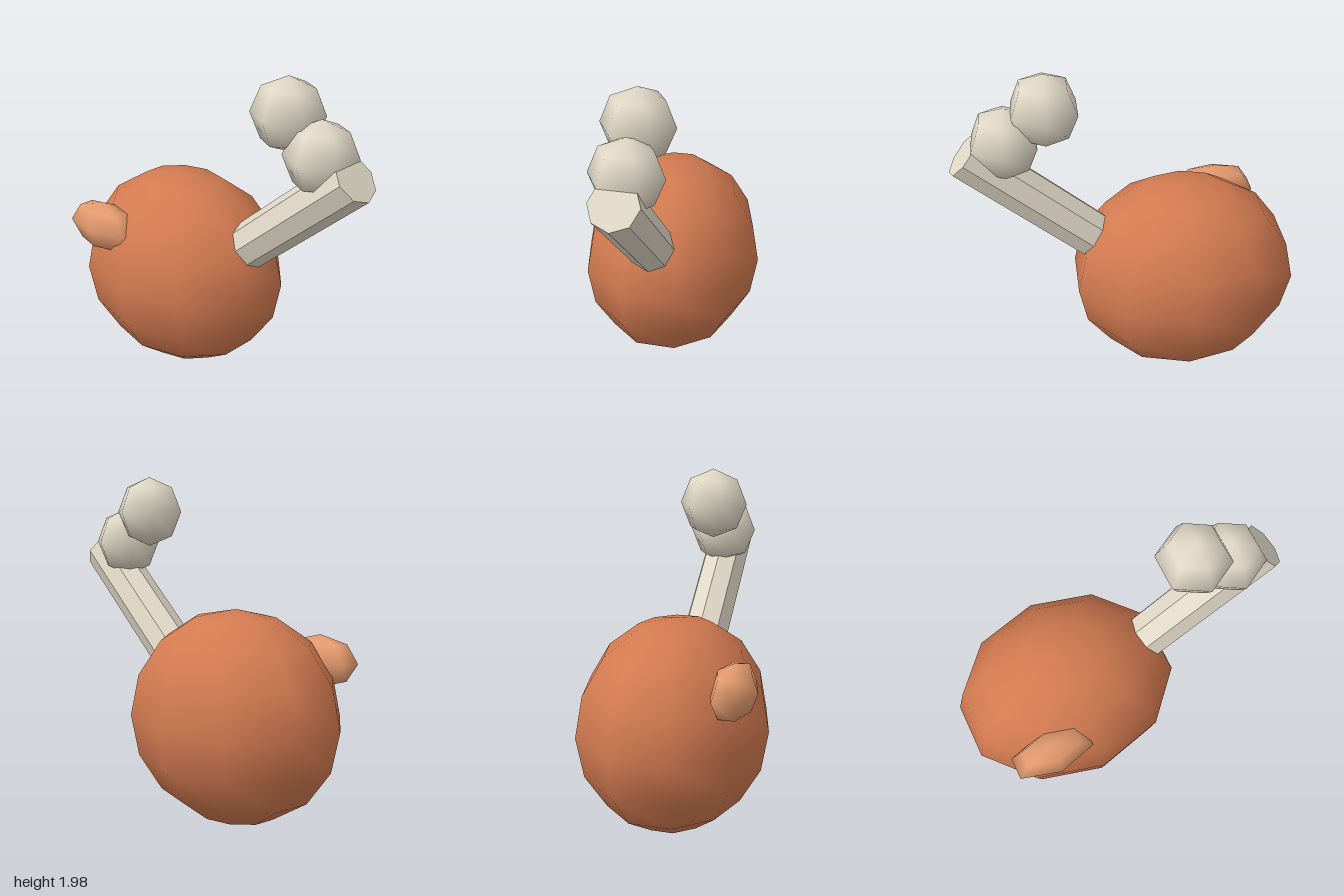
import * as THREE from 'three';

const mat = (name, color) => {
  const m = new THREE.MeshStandardMaterial({ color });
  m.name = name;
  return m;
};

export function createModel() {
  const group = new THREE.Group();
  group.name = 'drumstick';
  const meat = mat('roasted meat', 0xd27a50);
  const glaze = mat('glaze highlight', 0xe39a6e);
  const bone = mat('bone', 0xe0d8c6);
  const boneFlat = mat('bone shaft', 0xe0d8c6);
  boneFlat.flatShading = true;

  // Low-poly ellipsoid with corners pointing along z
  const blob = (name, material, segs, rows, pos, radii) => {
    const g = new THREE.SphereGeometry(1, segs, rows);
    g.rotateY(Math.PI / 2).scale(...radii);
    const mesh = new THREE.Mesh(g, material);
    mesh.name = name;
    mesh.position.set(...pos);
    group.add(mesh);
  };

  // Meat and its raised highlight
  blob('meat', meat, 10, 8, [-0.35, 0.617, 0], [0.684, 0.617, 0.55]);
  blob('glazeHighlight', glaze, 6, 4, [-0.615, 0.93, 0.415], [0.266, 0.152, 0.13]);

  // Bone knuckles
  blob('outerKnuckle', bone, 6, 4, [0.45, 1.767, 0], [0.21, 0.21, 0.21]);
  blob('innerKnuckle', bone, 6, 4, [0.68, 1.575, 0], [0.21, 0.21, 0.21]);

  // Octagonal bone shaft, leaning 40 degrees above horizontal
  const angle = THREE.MathUtils.degToRad(40), length = 1.2;
  const shaft = new THREE.Mesh(new THREE.CylinderGeometry(0.14, 0.14, length, 8), boneFlat);
  shaft.name = 'boneShaft';
  shaft.rotation.z = angle - Math.PI / 2;
  shaft.position.set(0.908 - Math.cos(angle) * length / 2, 1.512 - Math.sin(angle) * length / 2, 0);
  group.add(shaft);

  return group;
}
